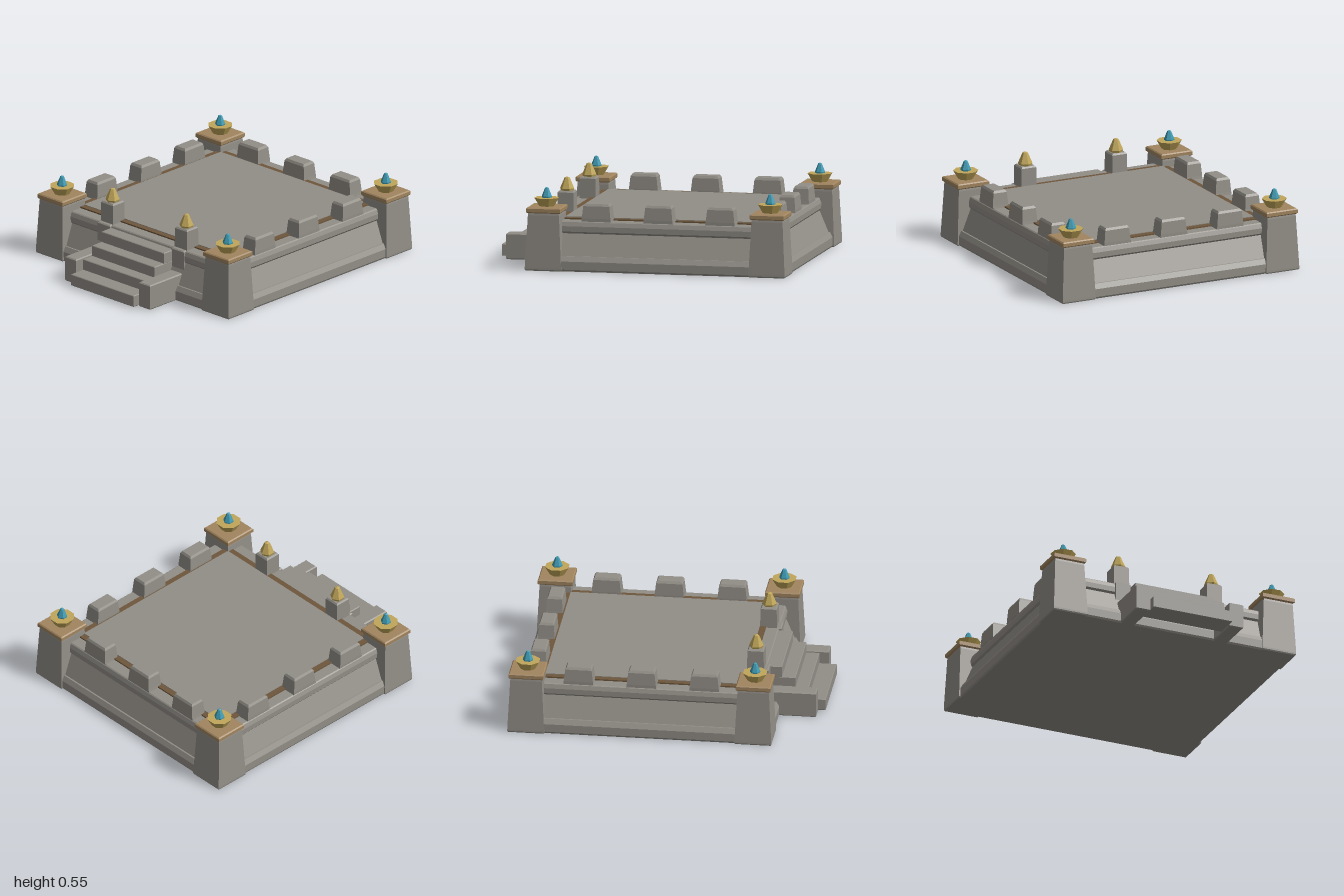
import * as THREE from 'three';

const mat = (name, color) => {
  const m = new THREE.MeshStandardMaterial({ color, flatShading: true });
  m.name = name;
  return m;
};

// Solid built from stacked rectangles: each ring is [y, halfX, halfZ = halfX]
function stack(rings) {
  const pos = [];
  const corners = ([y, hx, hz = hx]) => [[-hx, y, hz], [hx, y, hz], [hx, y, -hz], [-hx, y, -hz]];
  const quad = (a, b, c, d) => pos.push(...a, ...b, ...c, ...a, ...c, ...d);
  for (let i = 0; i < rings.length - 1; i++) {
    const lo = corners(rings[i]), hi = corners(rings[i + 1]);
    for (let k = 0; k < 4; k++) {
      const n = (k + 1) % 4;
      quad(lo[k], lo[n], hi[n], hi[k]);
    }
  }
  quad(...corners(rings[0]).reverse());
  quad(...corners(rings[rings.length - 1]));
  const g = new THREE.BufferGeometry();
  g.setAttribute('position', new THREE.Float32BufferAttribute(pos, 3));
  g.computeVertexNormals();
  return g;
}

// Block with slightly bevelled top and bottom edges
const block = (w, h, d, b = 0.007) => stack([
  [0, w / 2 - b, d / 2 - b], [b, w / 2, d / 2], [h - b, w / 2, d / 2], [h, w / 2 - b, d / 2 - b],
]);

export function createModel() {
  const stone = mat('stone', 0x928e87);
  const tan = mat('tan cap stone', 0xa1855f);
  const brown = mat('brown trim', 0x6e573c);
  const gold = mat('gold', 0xc0a65a);
  const teal = mat('teal crystal', 0x3f9ab2);

  const root = new THREE.Group();
  root.name = 'fortressPlatform';
  const add = (parent, name, geo, material, x = 0, y = 0, z = 0) => {
    const m = new THREE.Mesh(geo, material);
    m.name = name;
    m.position.set(x, y, z);
    parent.add(m);
    return m;
  };

  // Square platform: plinth, battered wall and overhanging cornice
  const platform = new THREE.Group();
  platform.name = 'platform';
  platform.position.z = -0.14;
  root.add(platform);
  add(platform, 'plinth', stack([[0, 0.843], [0.012, 0.85], [0.065, 0.85], [0.098, 0.832]]), stone);
  add(platform, 'wall', stack([[0.09, 0.825], [0.25, 0.755]]), stone);
  add(platform, 'cornice', stack([[0.238, 0.762], [0.25, 0.772], [0.285, 0.772], [0.312, 0.762], [0.318, 0.755]]), stone);
  add(platform, 'floorTrim', stack([[0.31, 0.68], [0.327, 0.68]]), brown);
  add(platform, 'floor', stack([[0.32, 0.64], [0.331, 0.64]]), stone);

  // Battlements on the back and both sides
  const merlon = stack([[0, 0.098, 0.055], [0.02, 0.095, 0.055], [0.1, 0.086, 0.049], [0.115, 0.077, 0.04]]);
  for (const t of [-0.41, 0, 0.41]) {
    add(platform, 'backMerlon', merlon, stone, t, 0.317, -0.705);
    for (const s of [-1, 1]) {
      add(platform, 'sideMerlon', merlon, stone, s * 0.705, 0.317, t).rotation.y = Math.PI / 2;
    }
  }

  // Corner towers with cap, bowl and crystal
  const towerGeo = stack([[0, 0.116], [0.008, 0.12], [0.02, 0.12], [0.36, 0.103], [0.378, 0.1]]);
  const capGeo = block(0.226, 0.036, 0.226);
  const bowlGeo = new THREE.CylinderGeometry(0.082, 0.05, 0.055, 8);
  const crystalGeo = new THREE.LatheGeometry(
    [[0, 0], [0.032, 0], [0.034, 0.012], [0.012, 0.066], [0, 0.072]].map(p => new THREE.Vector2(...p)), 6);
  for (const sx of [-1, 1]) for (const sz of [-1, 1]) {
    const tower = new THREE.Group();
    tower.name = 'cornerTower';
    tower.position.set(sx * 0.74, 0, sz * 0.74);
    platform.add(tower);
    add(tower, 'towerShaft', towerGeo, stone);
    add(tower, 'towerCap', capGeo, tan, 0, 0.374);
    add(tower, 'bowl', bowlGeo, gold, 0, 0.4375).rotation.y = Math.PI / 8;
    add(tower, 'crystal', crystalGeo, teal, 0, 0.461);
  }

  // Front stairs
  const fronts = [1.0, 0.887, 0.803, 0.715];
  fronts.forEach((z, i) => {
    const depth = 0.17;
    add(root, 'step', block(0.56, 0.078, depth, 0.004), stone, 0, 0.008 + i * 0.072, z - depth / 2);
  });

  // Stair cheeks and gate posts with gold finials
  const cheekGeo = block(0.1, 0.17, 0.34);
  const pierGeo = block(0.11, 0.17, 0.06);
  const postGeo = stack([[0, 0.058], [0.29, 0.055], [0.447, 0.053], [0.457, 0.045]]);
  const finialGeo = new THREE.LatheGeometry(
    [[0, 0], [0.042, 0], [0.047, 0.015], [0.017, 0.085], [0, 0.091]].map(p => new THREE.Vector2(...p)), 6);
  for (const s of [-1, 1]) {
    add(root, 'stairCheek', cheekGeo, stone, s * 0.33, 0, 0.78);
    add(root, 'gatePier', pierGeo, stone, s * 0.33, 0.15, 0.61);
    add(root, 'gatePost', postGeo, stone, s * 0.33, 0, 0.556);
    add(root, 'postFinial', finialGeo, gold, s * 0.33, 0.455, 0.556);
  }
  return root;
}
